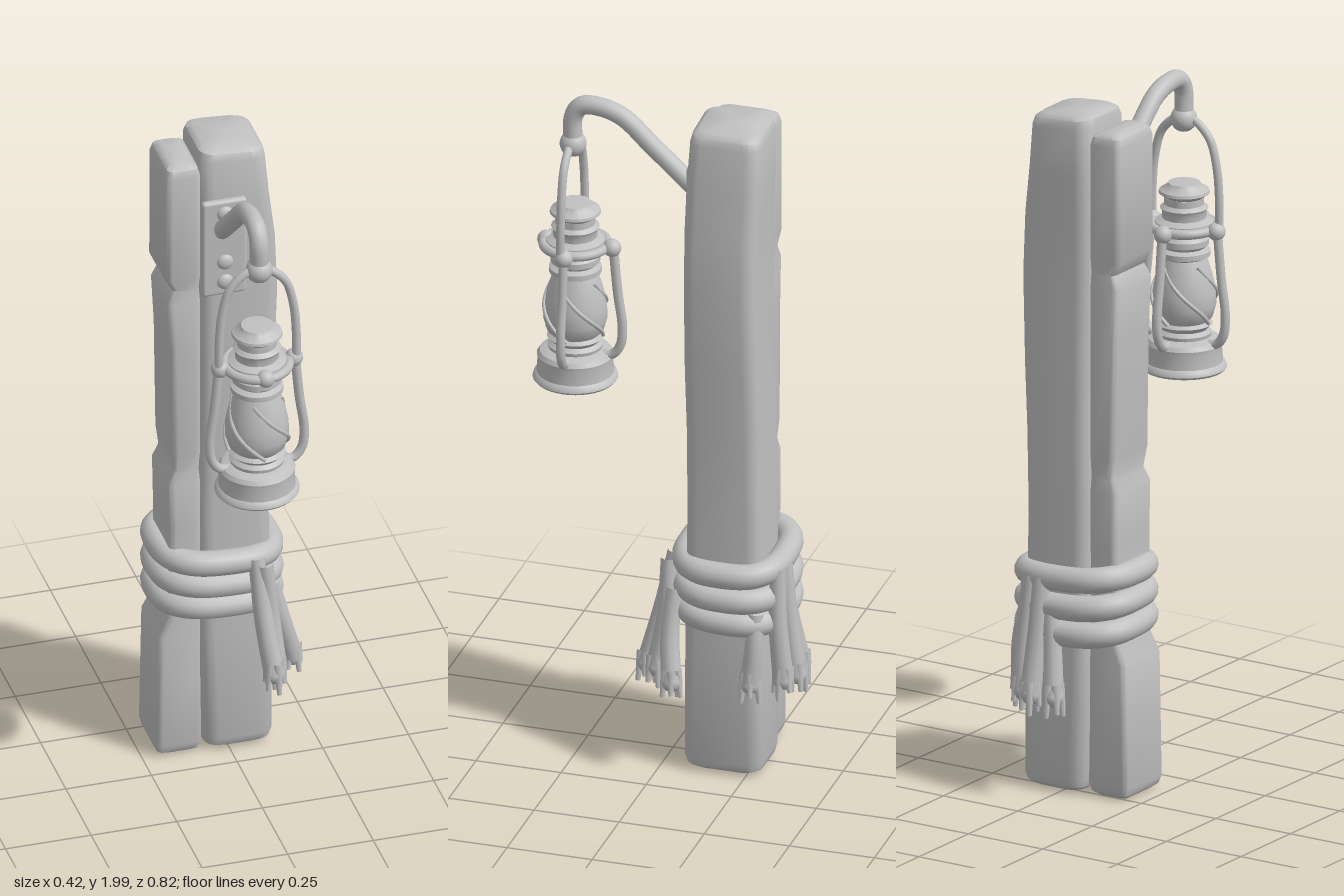
import * as THREE from 'three';
import { toCreasedNormals } from 'three/addons/utils/BufferGeometryUtils.js';
import { RoundedBoxGeometry } from 'three/addons/geometries/RoundedBoxGeometry.js';

const grey = new THREE.MeshStandardMaterial({ color: 0xc0c0c0 });
grey.name = 'plain grey';
const V = (x, y, z) => new THREE.Vector3(x, y, z);

function add(parent, name, geometry, x = 0, y = 0, z = 0) {
  const mesh = new THREE.Mesh(geometry, grey);
  mesh.name = name;
  mesh.position.set(x, y, z);
  parent.add(mesh);
  return mesh;
}

// Timber lofted through rounded rectangles; rows are [y, x0, x1, z0, z1]
function timber(rows, radius, topSlope) {
  const ends = (row, dir) => [[0, 0.022], [0.012, 0.006], [0.035, 0]].map(([dy, inset]) =>
    [row[0] + dir * dy, row[1] + inset, row[2] - inset, row[3] + inset, row[4] - inset]);
  const first = rows[0], last = rows[rows.length - 1];
  const point = r => {
    const cx = (r[1] + r[2]) / 2, cz = (r[3] + r[4]) / 2;
    return [r[0], cx - 0.001, cx + 0.001, cz - 0.001, cz + 0.001];
  };
  const all = [point(first), ...ends(first, 1), ...rows.slice(1, -1), ...ends(last, -1).reverse(), point(last)];
  const pos = [], index = [], n = 20;
  for (const [y, x0, x1, z0, z1] of all) {
    const r = Math.min(radius, (x1 - x0) / 2, (z1 - z0) / 2);
    for (let j = 0; j < n; j++) {
      const q = Math.floor(j / 5), a = (q + (j % 5) / 4) * Math.PI / 2;
      const x = (q === 0 || q === 3 ? x1 - r : x0 + r) + r * Math.cos(a);
      const z = (q < 2 ? z1 - r : z0 + r) + r * Math.sin(a);
      pos.push(x, y - (y > 1.9 ? topSlope * (x - first[1]) : 0), z);
    }
  }
  for (let i = 0; i < all.length - 1; i++) for (let j = 0; j < n; j++) {
    const a = i * n + j, b = i * n + (j + 1) % n;
    index.push(a, a + n, b, b, a + n, b + n);
  }
  const g = new THREE.BufferGeometry();
  g.setAttribute('position', new THREE.Float32BufferAttribute(pos, 3));
  g.setIndex(index);
  return toCreasedNormals(g, 0.7);
}

// Tube along points whose radius runs from r0 to r1
function tube(points, r0, r1 = r0, closed = false, sides = 10) {
  const curve = new THREE.CatmullRomCurve3(points, closed);
  const steps = closed ? 72 : points.length * 7;
  const g = new THREE.TubeGeometry(curve, steps, 1, sides, closed);
  const p = g.attributes.position;
  for (let i = 0; i < p.count; i++) {
    const t = Math.floor(i / (sides + 1)) / steps, c = curve.getPointAt(t);
    const v = V(0, 0, 0).fromBufferAttribute(p, i).sub(c).multiplyScalar(r0 + (r1 - r0) * t).add(c);
    p.setXYZ(i, v.x, v.y, v.z);
  }
  return g;
}

function lathe(parent, name, profile) {
  const g = new THREE.LatheGeometry(profile.map(([r, y]) => new THREE.Vector2(r, y)), 40);
  return add(parent, name, toCreasedNormals(g, 0.6));
}

function createPost(root) {
  const post = new THREE.Group();
  post.name = 'post';
  root.add(post);
  add(post, 'mainTimber', timber([
    [0.01, -0.072, 0.13, -0.295, -0.065], [0.4, -0.085, 0.13, -0.293, -0.066],
    [0.8, -0.088, 0.122, -0.29, -0.07], [1.05, -0.085, 0.128, -0.288, -0.07],
    [1.25, -0.085, 0.138, -0.285, -0.067], [1.5, -0.085, 0.147, -0.28, -0.067],
    [1.68, -0.085, 0.14, -0.28, -0.067], [1.82, -0.085, 0.123, -0.284, -0.068],
    [1.995, -0.085, 0.113, -0.284, -0.075]], 0.04, 0.08), 0, 0, 0);
  add(post, 'sideTimber', timber([
    [0.005, -0.212, -0.077, -0.268, -0.078], [0.25, -0.208, -0.08, -0.268, -0.078],
    [0.4, -0.205, -0.08, -0.268, -0.078], [0.46, -0.175, -0.08, -0.262, -0.082],
    [0.75, -0.172, -0.08, -0.265, -0.08], [0.9, -0.175, -0.08, -0.265, -0.08],
    [0.94, -0.158, -0.08, -0.26, -0.09], [1.0, -0.165, -0.08, -0.265, -0.08],
    [1.35, -0.17, -0.08, -0.265, -0.08], [1.5, -0.178, -0.08, -0.265, -0.08],
    [1.54, -0.16, -0.08, -0.26, -0.09], [1.58, -0.183, -0.08, -0.265, -0.08],
    [1.955, -0.182, -0.08, -0.265, -0.08]], 0.018, 0.03));
}

function createBracket(root) {
  const bracket = new THREE.Group();
  bracket.name = 'bracket';
  root.add(bracket);
  add(bracket, 'wallPlate', new RoundedBoxGeometry(0.13, 0.31, 0.024, 3, 0.01), -0.02, 1.685, -0.063);
  for (const y of [1.575, 1.64, 1.8])
    add(bracket, 'bolt', new THREE.SphereGeometry(0.024, 16, 10), -0.02, y, -0.052).scale.z = 0.6;
  add(bracket, 'arm', tube([V(-0.025, 1.735, -0.07), V(-0.025, 1.77, -0.03), V(-0.025, 1.86, 0.07),
    V(-0.025, 1.935, 0.155), V(-0.025, 1.957, 0.22), V(-0.025, 1.954, 0.275),
    V(-0.025, 1.92, 0.3), V(-0.025, 1.83, 0.302)], 0.027, 0.027, false, 16));
  add(bracket, 'armTip', new THREE.SphereGeometry(0.038, 20, 14), -0.025, 1.832, 0.302);
}

function createLantern(root) {
  const lantern = new THREE.Group();
  lantern.name = 'lantern';
  lantern.position.set(-0.03, 0, 0.297);
  root.add(lantern);
  lathe(lantern, 'base', [[0, 1.1], [0.114, 1.1], [0.12, 1.107], [0.117, 1.118], [0.109, 1.125],
    [0.106, 1.165], [0.108, 1.178], [0.1, 1.19], [0.075, 1.2], [0, 1.205]]);
  lathe(lantern, 'burner', [[0.075, 1.195], [0.078, 1.21], [0.066, 1.22], [0.08, 1.235], [0.06, 1.25]]);
  lathe(lantern, 'globe', [[0.06, 1.235], [0.08, 1.255], [0.09, 1.29], [0.089, 1.33], [0.08, 1.375],
    [0.066, 1.42], [0.058, 1.44]]);
  lathe(lantern, 'chimney', [[0.055, 1.425], [0.074, 1.435], [0.074, 1.45], [0.058, 1.458], [0.07, 1.468],
    [0.07, 1.485], [0.06, 1.495], [0.083, 1.505], [0.083, 1.535], [0.062, 1.545], [0.062, 1.565],
    [0.068, 1.575], [0.056, 1.585], [0.056, 1.605]]);
  lathe(lantern, 'cap', [[0, 1.6], [0.055, 1.605], [0.072, 1.618], [0.07, 1.626], [0.05, 1.638],
    [0.045, 1.647], [0, 1.65]]);

  // Collar with a knob on each side
  add(lantern, 'collar', new THREE.TorusGeometry(0.09, 0.014, 10, 40).rotateX(Math.PI / 2), 0, 1.52, 0);
  for (let k = 0; k < 4; k++) {
    const a = k * Math.PI / 2, c = Math.cos(a), s = -Math.sin(a);
    add(lantern, 'knob', new THREE.SphereGeometry(0.026, 16, 12), c * 0.108, 1.52, s * (s > 0 ? 0.085 : 0.108));
    if (k === 3) continue;
    const path = [[0.112, 1.52], [0.118, 1.45], [0.125, 1.38], [0.138, 1.28], [0.132, 1.22],
      [0.11, 1.19], [0.08, 1.185]];
    add(lantern, 'sideRod', tube(path.map(([r, y]) => V(c * r, y, s * r)), 0.0135));
  }

  // Carrying handle hooked through the arm tip
  const half = [[0.113, 1.53], [0.112, 1.62], [0.103, 1.71], [0.08, 1.785], [0.035, 1.828]];
  const left = half.map(([x, y]) => V(-x, y, 0.008));
  const right = half.map(([x, y]) => V(x, y, 0.008)).reverse();
  add(lantern, 'handle', tube([...left, V(0, 1.838, 0.008), ...right], 0.0125));

  // Wire guard winding round the globe
  for (let k = 0; k < 4; k++) {
    const wire = [];
    for (let i = 0; i <= 8; i++) {
      const t = i / 8, a = k * Math.PI / 2 + t * 2;
      const r = 0.082 + 0.012 * Math.sin(Math.PI * Math.min(1, t * 1.2)) - 0.014 * t * t;
      wire.push(V(r * Math.cos(a), 1.245 + t * 0.17, r * Math.sin(a)));
    }
    add(lantern, 'guardWire', tube(wire, 0.006, 0.006, false, 6));
  }
}

function createRope(root) {
  const rope = new THREE.Group();
  rope.name = 'rope';
  root.add(rope);
  const power = v => Math.sign(v) * Math.pow(Math.abs(v), 0.75);
  [0.645, 0.568, 0.495].forEach((y, k) => {
    const ring = [];
    for (let i = 0; i < 20; i++) {
      const a = i / 20 * Math.PI * 2;
      ring.push(V(-0.02 + 0.16 * power(Math.cos(a)), y - 0.012 * Math.cos(a + k * 0.5),
        -0.183 + 0.138 * power(Math.sin(a))));
    }
    add(rope, 'ropeCoil', tube(ring, 0.037, 0.037, true, 14));
  });

  // Loose ends spreading into frayed strands: start, middle, end
  const ends = [
    [[0.065, 0.655, -0.03], [0.075, 0.48, 0.005], [0.095, 0.31, 0.045]],
    [[0.11, 0.56, -0.04], [0.14, 0.43, -0.035], [0.175, 0.3, -0.05]],
    [[0.085, 0.64, -0.015], [0.1, 0.46, -0.01], [0.11, 0.31, 0.015]],
    [[0.03, 0.645, -0.335], [0.035, 0.48, -0.35], [0.04, 0.31, -0.375]],
    [[0.07, 0.645, -0.33], [0.085, 0.48, -0.335], [0.085, 0.31, -0.35]],
    [[0.0, 0.54, -0.33], [-0.015, 0.43, -0.345], [-0.03, 0.31, -0.365]],
    [[0.12, 0.52, -0.28], [0.135, 0.42, -0.28], [0.14, 0.31, -0.27]]];
  ends.forEach((path, k) => {
    const pts = path.map(p => V(...p)), tip = pts[2];
    add(rope, 'looseEnd', tube(pts, 0.024, 0.031, false, 10));
    add(rope, 'looseEndTip', new THREE.SphereGeometry(0.031, 12, 8), tip.x, tip.y, tip.z);
    for (let i = 0; i < 5; i++) {
      const a = i * 1.257 + k, c = Math.cos(a), s = Math.sin(a), drop = 0.045 + 0.012 * ((i * 2 + k) % 3 - 1);
      add(rope, 'frayedStrand', tube([V(tip.x + c * 0.017, tip.y + 0.04, tip.z + s * 0.017),
        V(tip.x + c * 0.022, tip.y, tip.z + s * 0.022),
        V(tip.x + c * 0.027, tip.y - drop, tip.z + s * 0.027)], 0.014, 0.007, false, 7));
    }
  });
}

export function createModel() {
  const model = new THREE.Group();
  model.name = 'lanternPost';
  createPost(model);
  createBracket(model);
  createLantern(model);
  createRope(model);
  return model;
}
